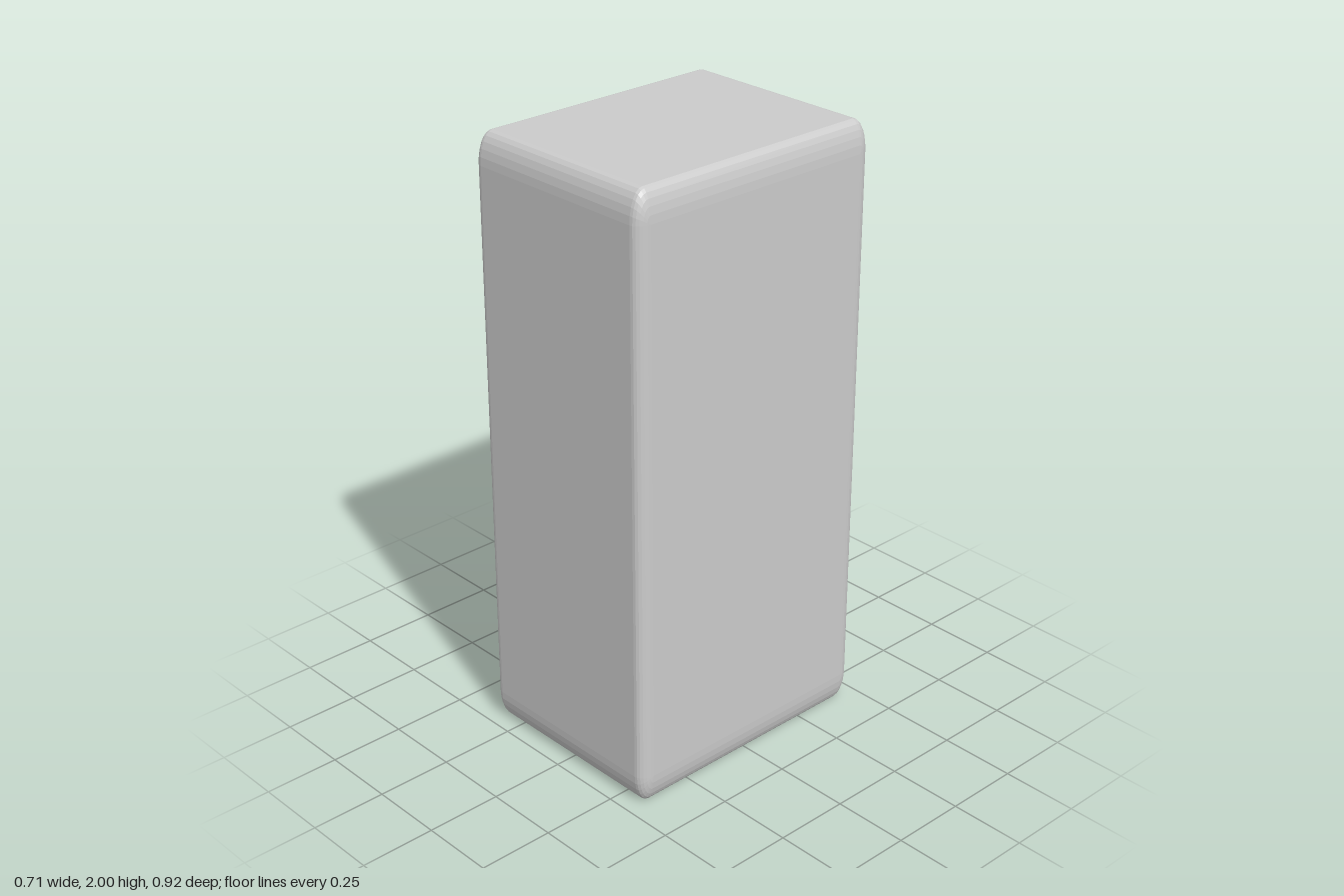
import * as THREE from 'three';

const HALF = { x: 0.355, y: 1, z: 0.46 };   // half sizes of the housing
const ROUND = 0.1;                          // edge rounding, as a share of each half size
const STEPS = 6;                            // facets per rounded edge
const PANEL_X = -0.305;                     // floor of the recess on the -x side

// Rounded rectangle in the y-z plane at x; k = 1 is the full outline, 0 the flat end face
function ring(x, k) {
  const points = [];
  for (let q = 0; q < 4; q++) {
    const sy = q === 0 || q === 3 ? 1 : -1;
    const sz = q < 2 ? 1 : -1;
    for (let i = 0; i <= STEPS; i++) {
      const a = (q + i / STEPS) * Math.PI / 2;
      points.push(new THREE.Vector3(
        x,
        HALF.y * (1 + sy * (1 - ROUND) + ROUND * k * Math.cos(a)),
        HALF.z * (sz * (1 - ROUND) + ROUND * k * Math.sin(a))
      ));
    }
  }
  return points;
}

// Skin successive rings, leaving out collapsed triangles
function loft(rings) {
  const positions = [];
  const add = (...corners) => {
    if (new THREE.Triangle(...corners).getArea() < 1e-9) return;
    corners.forEach((p) => positions.push(p.x, p.y, p.z));
  };
  for (let i = 0; i < rings.length - 1; i++) {
    const n = rings[i].length;
    for (let j = 0; j < n; j++) {
      const k = (j + 1) % n;
      const a = rings[i][j], b = rings[i][k], c = rings[i + 1][j], d = rings[i + 1][k];
      add(a, c, b);
      add(b, c, d);
    }
  }
  const geometry = new THREE.BufferGeometry();
  geometry.setAttribute('position', new THREE.Float32BufferAttribute(positions, 3));
  geometry.computeVertexNormals();
  return geometry;
}

export function createModel() {
  const group = new THREE.Group();
  const material = new THREE.MeshStandardMaterial({ color: 0xcccccc, flatShading: true });

  // Housing: rounded box whose -x face is sunk into a shallow recess
  const centre = (x) => ring(x, 0).map(() => new THREE.Vector3(x, HALF.y, 0));
  const edge = (sign, a) =>
    ring(sign * HALF.x * (1 - ROUND + ROUND * Math.sin(a)), Math.cos(a));
  const rimAngle = Math.acos(0.3);
  const rings = [centre(HALF.x)];
  for (let i = STEPS; i >= 0; i--) rings.push(edge(1, i / STEPS * Math.PI / 2));
  for (let i = 0; i <= STEPS; i++) rings.push(edge(-1, i / STEPS * rimAngle));
  rings.push(ring(PANEL_X, 0.3), centre(PANEL_X));
  const housing = new THREE.Mesh(loft(rings), material);
  housing.name = 'housing';
  group.add(housing);

  // Three round lamps standing on the recessed panel
  const lampGeometry = new THREE.CylinderGeometry(0.22, 0.22, 0.047, 32).rotateZ(Math.PI / 2);
  [['bottomLamp', 0.46], ['middleLamp', 1.03], ['topLamp', 1.575]].forEach(([name, y]) => {
    const lamp = new THREE.Mesh(lampGeometry, material);
    lamp.name = name;
    lamp.position.set(PANEL_X - 0.0135, y, 0);
    group.add(lamp);
  });

  return group;
}
